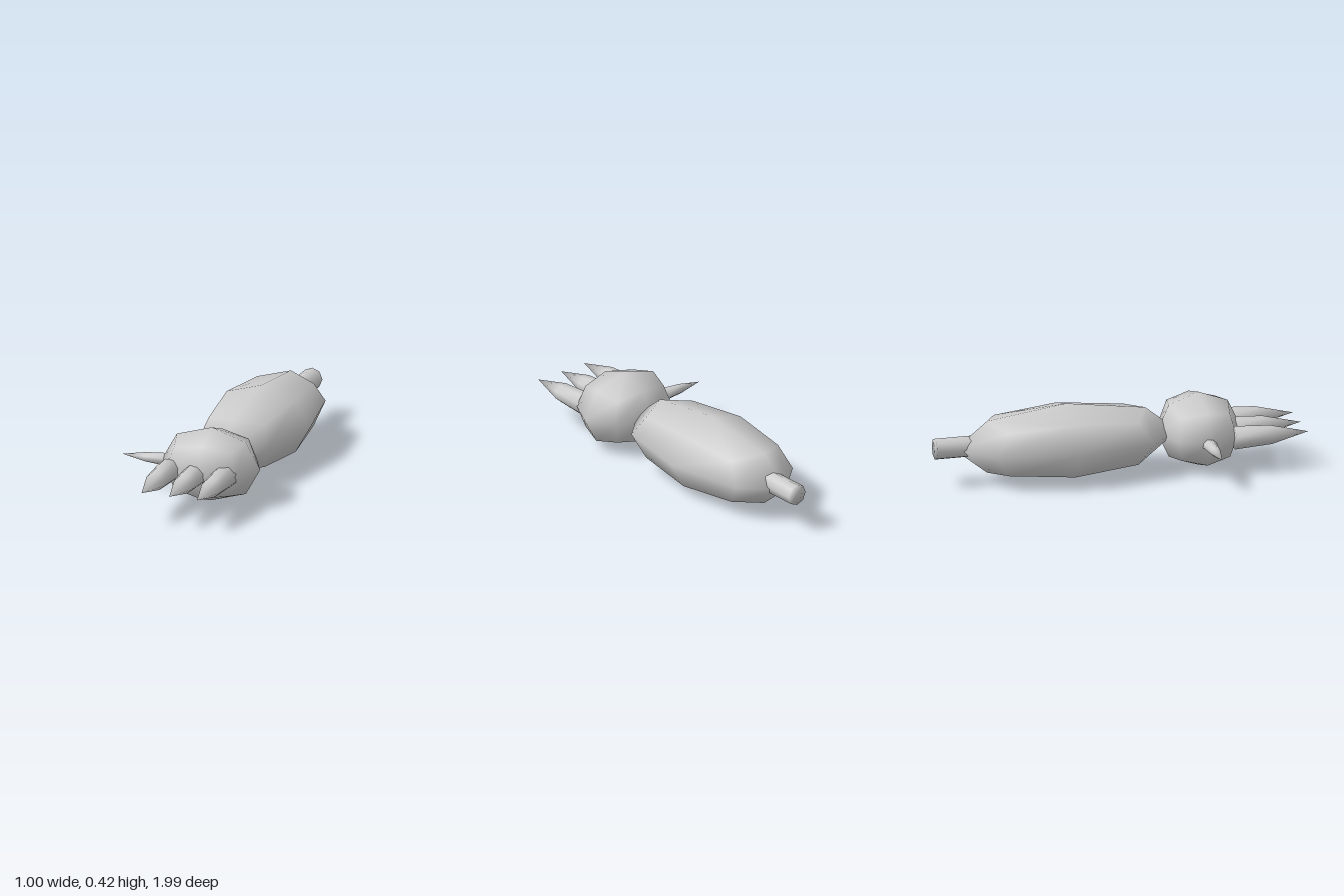
import * as THREE from 'three';
import { mergeVertices } from 'three/addons/utils/BufferGeometryUtils.js';

const grey = new THREE.MeshStandardMaterial({ color: 0xcccccc });
grey.name = 'grey';

// weld all corners so shading runs smoothly over the whole part
function smooth(geometry) {
  geometry.deleteAttribute('normal');
  geometry.deleteAttribute('uv');
  const welded = mergeVertices(geometry, 1e-4);
  welded.computeVertexNormals();
  return welded;
}

// rounded lump: a 2x2x2 divided cube pushed out to an ellipsoid
function lump(rx, ry, rz) {
  const g = new THREE.BoxGeometry(2, 2, 2, 2, 2, 2);
  const p = g.attributes.position;
  const v = new THREE.Vector3();
  for (let i = 0; i < p.count; i++) {
    v.fromBufferAttribute(p, i).normalize();
    p.setXYZ(i, v.x * rx, v.y * ry, v.z * rz);
  }
  return smooth(g);
}

// eight-sided claw with a closed base at z = 0 and its point at z = length
function claw(baseRadius, midRadius, length) {
  const profile = [[0, 0], [baseRadius, 0], [midRadius, length / 2], [0, length]]
    .map(([r, h]) => new THREE.Vector2(r, h));
  const g = new THREE.LatheGeometry(profile, 8, Math.PI / 8);
  g.rotateX(Math.PI / 2);
  g.scale(1, 0.9, 1);
  return smooth(g);
}

export function createModel() {
  const model = new THREE.Group();
  model.name = 'clawedArm';

  // everything lies along one slanted axis, with the paw at its origin
  const arm = new THREE.Group();
  arm.name = 'arm';
  arm.position.set(0.148, 0.21, 0.393);
  arm.rotation.y = THREE.MathUtils.degToRad(23);
  model.add(arm);

  function add(name, geometry, x, y, z) {
    const mesh = new THREE.Mesh(geometry, grey);
    mesh.name = name;
    mesh.position.set(x, y, z);
    arm.add(mesh);
    return mesh;
  }

  add('paw', lump(0.285, 0.21, 0.235), 0, 0, 0);
  add('forearm', lump(0.286, 0.21, 0.63), 0, 0, -0.746);

  // connecting rod at the back
  const rod = new THREE.CylinderGeometry(0.06, 0.06, 0.334, 8);
  rod.rotateX(Math.PI / 2);
  add('rod', smooth(rod), 0.01, 0.01, -1.317);

  // three front claws
  for (const i of [-1, 0, 1]) {
    add('frontClaw', claw(0.07, 0.057, 0.42), -0.024 + i * 0.162, -0.007, 0.15);
  }

  // side claw
  const thumb = add('thumbClaw', claw(0.04, 0.028, 0.272), -0.25, -0.01, -0.005);
  thumb.rotation.y = -Math.PI / 2;

  return model;
}
